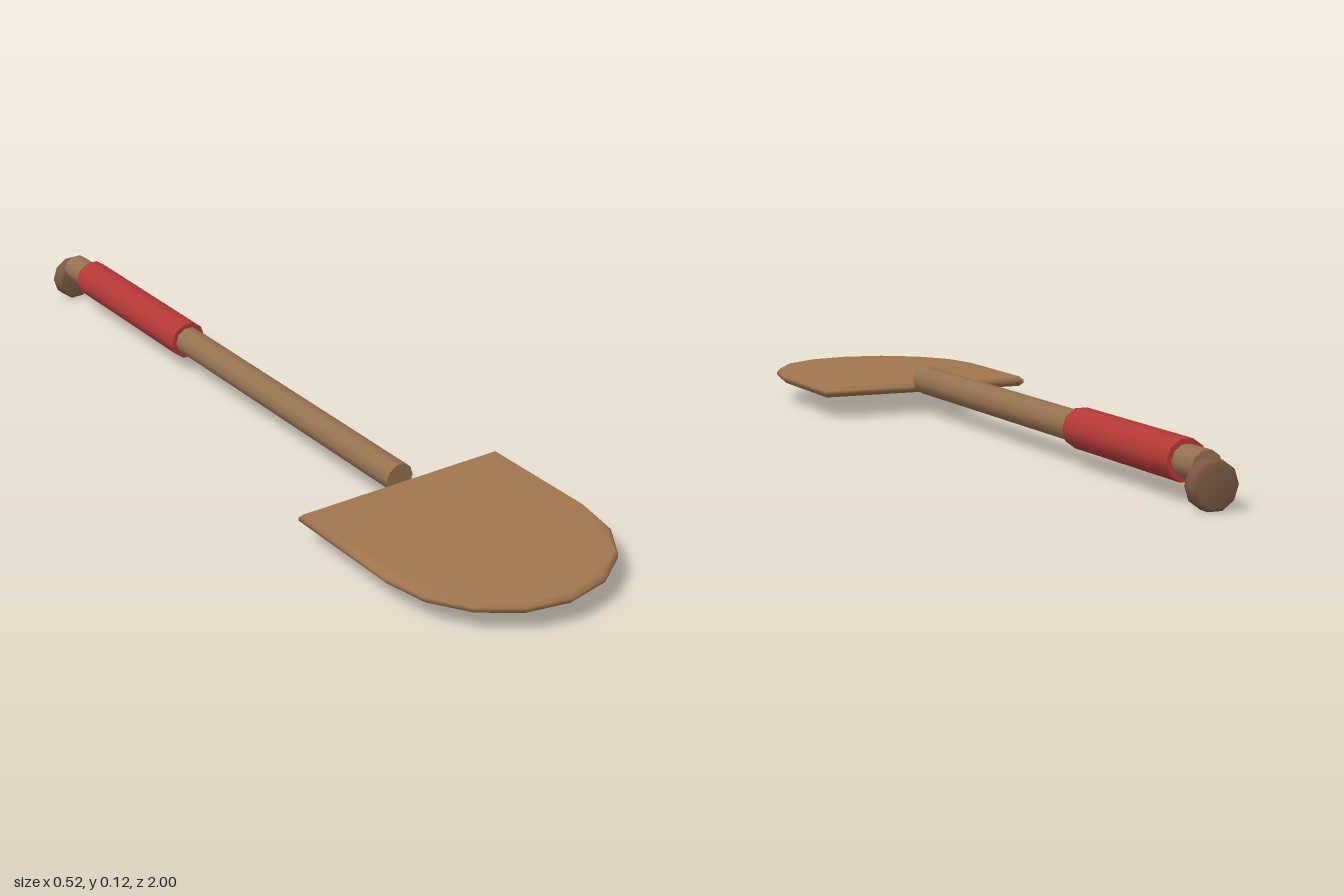
import * as THREE from 'three';
import { mergeVertices } from 'three/addons/utils/BufferGeometryUtils.js';

const SIDES = 10;

function material(name, color) {
  const m = new THREE.MeshStandardMaterial({ color });
  m.name = name;
  return m;
}

export function createModel() {
  const group = new THREE.Group();
  group.name = 'shovel';
  const bladeWood = material('bladeBrown', 0xa0764e);
  const shaftWood = material('shaftBrown', 0x967350);
  const knobWood = material('knobBrown', 0x7a5a42);
  const gripRed = material('gripRed', 0xb53a36);

  function add(name, geometry, mat) {
    const mesh = new THREE.Mesh(geometry, mat);
    mesh.name = name;
    group.add(mesh);
    return mesh;
  }

  // Ten-sided rod along z with a flat side on top
  function rod(name, radius, z0, z1, mat) {
    const g = new THREE.CylinderGeometry(radius, radius, z1 - z0, SIDES, 1, false, Math.PI / 2);
    g.rotateX(Math.PI / 2);
    add(name, g, mat).position.set(0, 0.082, (z0 + z1) / 2);
  }
  rod('shaft', 0.034, -0.96, 0.43, shaftWood);
  rod('grip', 0.045, -0.88, -0.42, gripRed);

  // Rounded end knob, hung slightly below the shaft axis
  const profile = [[0, -1], [0.044, -1], [0.052, -0.991], [0.052, -0.964], [0.044, -0.955], [0, -0.955]]
    .map(([r, z]) => new THREE.Vector2(r, z));
  const knob = new THREE.LatheGeometry(profile, SIDES, Math.PI / 2);
  knob.rotateX(Math.PI / 2);
  add('endKnob', knob, knobWood).position.y = 0.05;

  // Flat blade: square shoulders and a half-round tip, with a bevelled rim
  const W = 0.262, shoulder = 0.43, bend = 0.73, tip = 0.27, bevel = 0.008;
  const outline = [new THREE.Vector2(-W, shoulder), new THREE.Vector2(W, shoulder)];
  for (let i = 0; i <= 8; i++) {
    const a = (i / 8) * Math.PI;
    outline.push(new THREE.Vector2(W * Math.cos(a), bend + tip * Math.sin(a)));
  }
  let blade = new THREE.ExtrudeGeometry(new THREE.Shape(outline), {
    depth: 0.008, bevelEnabled: true, bevelThickness: bevel, bevelSize: bevel,
    bevelOffset: -bevel, bevelSegments: 1, steps: 1,
  });
  blade.rotateX(Math.PI / 2);
  // Weld the faces so that the shading runs smoothly over the rim
  blade.deleteAttribute('normal');
  blade.deleteAttribute('uv');
  blade.clearGroups();
  blade = mergeVertices(blade, 1e-4);
  blade.computeVertexNormals();
  add('blade', blade, bladeWood).position.y = 0.068;

  return group;
}
